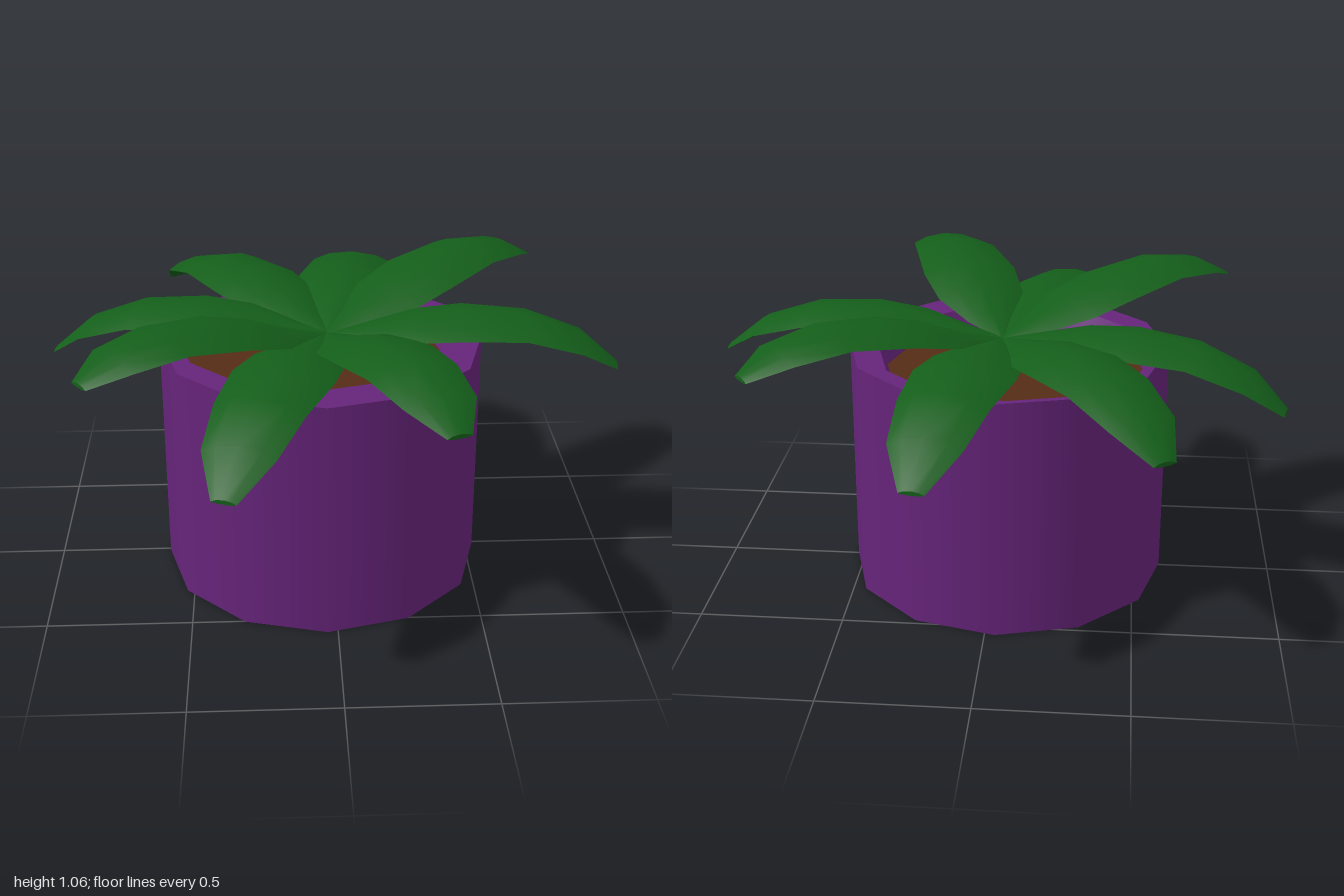
import * as THREE from 'three';
import { toCreasedNormals } from 'three/addons/utils/BufferGeometryUtils.js';

const SIDES = 12;
const purple = new THREE.MeshStandardMaterial({ color: 0x66247a, side: THREE.DoubleSide });
const brown = new THREE.MeshStandardMaterial({ color: 0x552c16, side: THREE.DoubleSide });
const green = new THREE.MeshStandardMaterial({ color: 0x145e1a });

// Leaf stations: distance along (0-1), half width, height of a drooping leaf, height of a raised leaf
const STATIONS = [
  [0.00, 0.012, 0.87, 0.87],
  [0.14, 0.090, 0.88, 0.895],
  [0.29, 0.160, 0.895, 0.94],
  [0.46, 0.175, 0.905, 0.985],
  [0.68, 0.153, 0.89, 1.015],
  [0.87, 0.122, 0.825, 0.995],
  [1.00, 0.042, 0.73, 0.945],
];
// Cross-section: across, up (as a share of the half width)
const SECTION = [[-1, 0], [-0.6, 0.18], [0, 0.26], [0.6, 0.18], [1, 0], [0.5, -0.1], [-0.5, -0.1]];

function leafGeometry(tipX, tipZ, raise) {
  const baseX = -0.015, baseZ = 0.015;
  const dir = new THREE.Vector2(tipX - baseX, tipZ - baseZ);
  const length = dir.length();
  dir.normalize();
  const pos = [], index = [], n = SECTION.length;
  for (const [t, half, low, high] of STATIONS) {
    const y = THREE.MathUtils.lerp(low, high, raise);
    for (const [across, up] of SECTION) {
      pos.push(
        baseX + dir.x * t * length + dir.y * across * half,
        y + up * half,
        baseZ + dir.y * t * length - dir.x * across * half
      );
    }
  }
  for (let i = 0; i < STATIONS.length - 1; i++) {
    for (let j = 0; j < n; j++) {
      const a = i * n + j, b = i * n + (j + 1) % n;
      index.push(a, a + n, b, b, a + n, b + n);
    }
  }
  // Blunt end of the leaf
  const last = (STATIONS.length - 1) * n;
  for (let j = 1; j < n - 1; j++) index.push(last, last + j + 1, last + j);
  const geo = new THREE.BufferGeometry();
  geo.setAttribute('position', new THREE.Float32BufferAttribute(pos, 3));
  geo.setIndex(index);
  return toCreasedNormals(geo, 0.75);
}

export function createModel() {
  const model = new THREE.Group();
  const add = (parent, name, geo, mat) => {
    const mesh = new THREE.Mesh(geo, mat);
    mesh.name = name;
    parent.add(mesh);
  };

  // Pot: open-ended wall, flat rim with an off-centre opening, sloping inner wall
  const pot = new THREE.Group();
  pot.name = 'pot';
  pot.position.set(-0.035, 0, 0.012);
  model.add(pot);
  const R = 0.566, r = 0.485, top = 0.85, soilY = 0.78;
  const offX = -0.03, offZ = -0.05;
  add(pot, 'potWall', new THREE.CylinderGeometry(R, R, top, SIDES, 1, true).translate(0, top / 2, 0), purple);

  const rim = new THREE.LatheGeometry([new THREE.Vector2(R, top), new THREE.Vector2(r, top)], SIDES);
  const p = rim.attributes.position;
  for (let i = 0; i < p.count; i++) {
    if (Math.hypot(p.getX(i), p.getZ(i)) < (R + r) / 2) {
      p.setXYZ(i, p.getX(i) + offX, top, p.getZ(i) + offZ);
    }
  }
  add(pot, 'potRim', rim, purple);
  const inner = new THREE.LatheGeometry([new THREE.Vector2(r, top), new THREE.Vector2(0.455, soilY)], SIDES);
  add(pot, 'potInnerWall', inner.translate(offX, 0, offZ), purple);

  // Soil
  const soil = new THREE.CircleGeometry(0.455, SIDES).rotateX(-Math.PI / 2);
  add(pot, 'soil', soil.translate(offX, soilY, offZ), brown);

  // Leaves: tip x, tip z, how far raised (0 drooping, 1 raised)
  const leaves = new THREE.Group();
  leaves.name = 'leaves';
  model.add(leaves);
  [
    [0.175, -0.985, 0],
    [0.765, -0.625, 0.95],
    [0.995, 0.12, 0.22],
    [0.335, 0.965, 0.95],
    [-0.36, 0.975, 0.03],
    [-0.81, 0.61, 1.05],
    [-0.995, -0.24, -0.03],
    [-0.575, -0.83, 0.25],
  ].forEach(([x, z, raise], i) => add(leaves, 'leaf' + (i + 1), leafGeometry(x, z, raise), green));

  return model;
}
